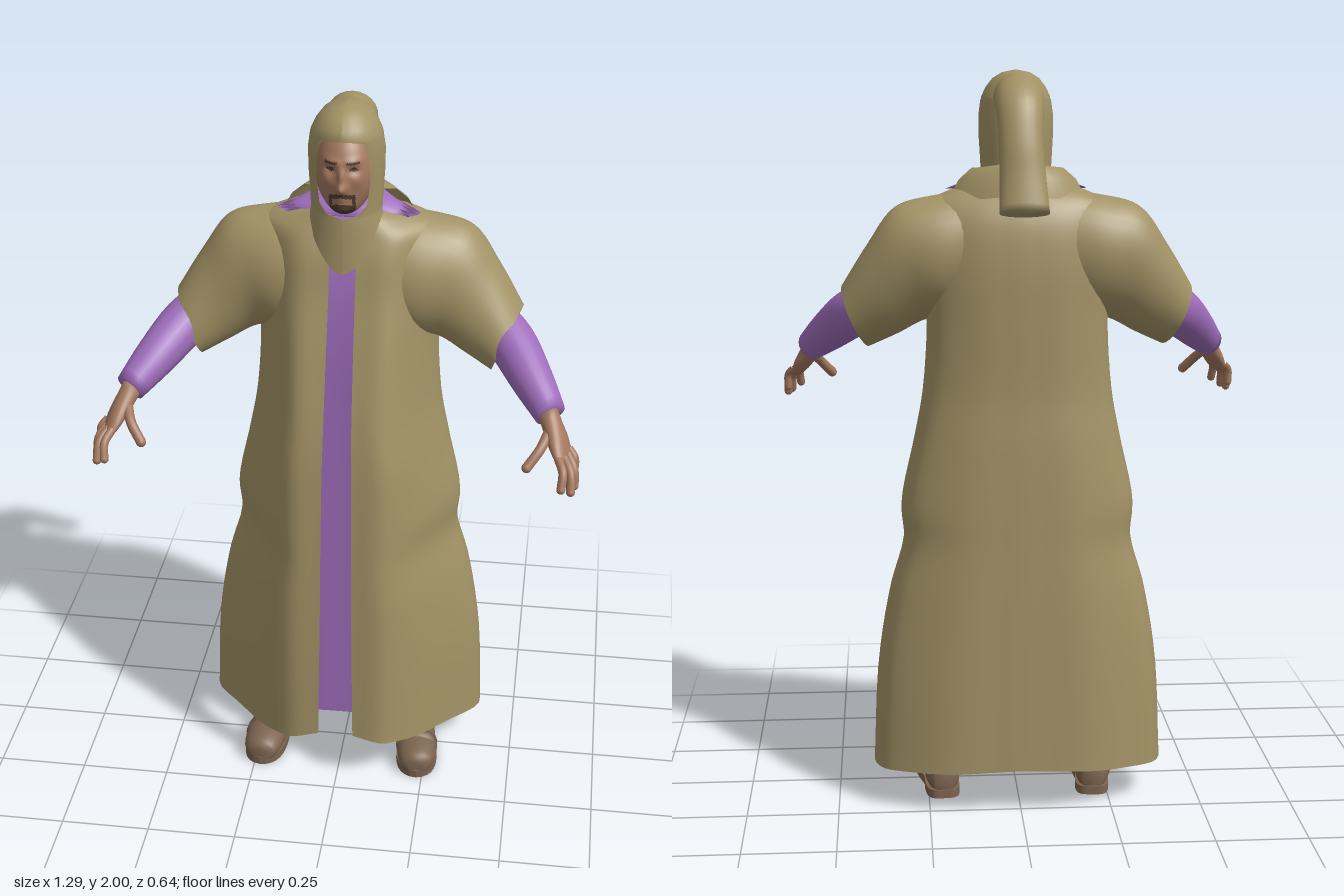
import * as THREE from 'three';

const mat = (name, color, double) => {
  const m = new THREE.MeshStandardMaterial({ color });
  m.name = name;
  if (double) m.side = THREE.DoubleSide;
  return m;
};
const V = (x, y, z) => new THREE.Vector3(x, y, z);
const lerp = THREE.MathUtils.lerp;

// Ellipse of points: centre c, half axes v (start) and u
function ellipse(c, v, u, n = 24) {
  return Array.from({ length: n }, (_, j) => {
    const a = (j / n) * Math.PI * 2;
    return c.clone().addScaledVector(v, Math.cos(a)).addScaledVector(u, Math.sin(a));
  });
}

// Skin over a list of rings; steps > 0 resamples smoothly along the length
function loft(rings, { closed = true, cap = false, steps = 0 } = {}) {
  if (steps) {
    const cols = rings[0].map((_, j) =>
      new THREE.CatmullRomCurve3(rings.map(r => r[j]), false, 'centripetal').getPoints(steps));
    rings = cols[0].map((_, i) => cols.map(c => c[i]));
  }
  const n = rings[0].length, pos = [], idx = [];
  rings.forEach(r => r.forEach(p => pos.push(p.x, p.y, p.z)));
  for (let i = 0; i < rings.length - 1; i++) {
    for (let j = 0; j < (closed ? n : n - 1); j++) {
      const k = (j + 1) % n, a = i * n + j, b = i * n + k;
      idx.push(a, b, b + n, a, b + n, a + n);
    }
  }
  if (cap) {
    [0, rings.length - 1].forEach((i, end) => {
      const c = rings[i].reduce((s, p) => s.add(p), V(0, 0, 0)).divideScalar(n);
      const m = pos.length / 3;
      pos.push(c.x, c.y, c.z);
      for (let j = 0; j < n; j++) {
        const a = i * n + j, b = i * n + (j + 1) % n;
        if (end) idx.push(a, b, m); else idx.push(b, a, m);
      }
    });
  }
  const g = new THREE.BufferGeometry();
  g.setAttribute('position', new THREE.Float32BufferAttribute(pos, 3));
  g.setIndex(idx);
  g.computeVertexNormals();
  return g;
}

// Robe levels: y, half width, front z, back z, front opening, flat front half width
const ROBE = [
  [0.13, 0.400, 0.215, -0.290, 0.050, 0.14], [0.39, 0.385, 0.210, -0.280, 0.047, 0.14],
  [0.60, 0.350, 0.203, -0.272, 0.044, 0.14], [0.74, 0.312, 0.197, -0.266, 0.043, 0.13],
  [0.84, 0.317, 0.192, -0.262, 0.042, 0.13], [1.02, 0.280, 0.180, -0.254, 0.040, 0.13],
  [1.15, 0.256, 0.160, -0.245, 0.038, 0.12], [1.35, 0.243, 0.112, -0.245, 0.036, 0.12],
  [1.50, 0.250, 0.070, -0.242, 0.035, 0.12], [1.60, 0.250, 0.047, -0.228, 0.035, 0.12],
  [1.655, 0.235, 0.025, -0.205, 0.035, 0.12], [1.685, 0.185, 0.010, -0.180, 0.035, 0.09],
  [1.705, 0.115, 0.000, -0.140, 0.035, 0.07],
];

// The coat is open in front; the tunic inside is closed and hangs straight from the chest
function robe(isTunic) {
  const inset = isTunic ? 0.013 : 0;
  const rings = ROBE.map(([y, w0, zf0, zb0, gap, fx], row) => {
    const w = w0 - inset * 1.3, zb = zb0 + inset, zm = -0.085;
    const zf = isTunic ? Math.min(zf0 - inset, 0.07) : zf0;
    const half = new THREE.CatmullRomCurve3([
      V(isTunic ? 0 : gap, y, zf), V(fx - inset, y, zf - 0.004),
      V((fx + w) / 2 + 0.005, y, lerp(zm, zf, 0.58)), V(w, y, zm),
      V(w * 0.9, y, lerp(zm, zb, 0.6)), V(w * 0.5, y, zb + 0.012), V(0, y, zb),
    ], false, 'centripetal').getPoints(28);
    half.forEach((p, j) => {
      const t = j / 28;
      // soft folds fading upward, and the curved hem
      if (row < 6 && t > 0.2) p.z += 0.006 * Math.sin(t * 28) * (1 - row / 6) * Math.sin(t * Math.PI);
      if (row === 0) p.y = isTunic ? 0.14 : t < 0.5 ? lerp(0.168, 0.1, t * 2) : lerp(0.1, 0.125, t * 2 - 1);
    });
    const other = half.slice(isTunic ? 1 : 0, -1).reverse().map(p => V(-p.x, p.y, p.z));
    return [...half, ...other];
  });
  return loft(rings, { closed: isTunic, steps: 52 });
}

// Head: a sphere moulded by a rule, with hair areas in a second material group
function headGeometry() {
  const g = new THREE.SphereGeometry(1, 96, 80), p = g.attributes.position;
  const bump = (x, y, cx, cy, rx, ry) => Math.exp(-(((x - cx) / rx) ** 2) - ((y - cy) / ry) ** 2);
  for (let i = 0; i < p.count; i++) {
    let x = p.getX(i) * 0.079, z = p.getZ(i) * 0.088;
    const y = p.getY(i) * 0.118, ax = Math.abs(x);
    if (z > 0) {
      z += 0.022 * bump(ax, y, 0, -0.022, 0.014, 0.014) + 0.012 * bump(ax, y, 0, 0.008, 0.009, 0.025)
        + 0.005 * bump(ax, y, 0.025, 0.046, 0.025, 0.01) - 0.008 * bump(ax, y, 0.03, 0.024, 0.014, 0.011)
        + 0.004 * bump(ax, y, 0.042, -0.005, 0.014, 0.016) + 0.024 * bump(ax, y, 0, -0.085, 0.035, 0.024)
        + 0.008 * bump(ax, y, 0, -0.05, 0.025, 0.014);
    }
    p.setXYZ(i, x * (y < -0.03 ? 1 + (y + 0.03) * 0.8 : 1), y, z);
  }
  g.computeVertexNormals();
  const isHair = (x, y, z) => {
    const ax = Math.abs(x);
    if (z < 0.02) return false;
    const brow = ax > 0.012 && ax < 0.045 && Math.abs(y - 0.044) < 0.0035;
    const eye = Math.hypot((ax - 0.03) / 0.011, (y - 0.026) / 0.005) < 1;
    const moustache = ax < 0.034 && Math.abs(y + 0.04 + ax * 0.25) < 0.006;
    const side = ax > 0.026 && ax < 0.034 && y < -0.045 && y > -0.08;
    const chin = Math.hypot(x / 0.034, (y + 0.085) / 0.02) < 1;
    return brow || eye || moustache || side || chin;
  };
  const parts = [[], []], idx = g.index.array;
  for (let i = 0; i < idx.length; i += 3) {
    const t = [idx[i], idx[i + 1], idx[i + 2]];
    const mean = f => (f(t[0]) + f(t[1]) + f(t[2])) / 3;
    const hairy = isHair(mean(k => p.getX(k)), mean(k => p.getY(k)), mean(k => p.getZ(k)));
    parts[hairy ? 1 : 0].push(...t);
  }
  g.setIndex([...parts[0], ...parts[1]]);
  g.addGroup(0, parts[0].length, 0);
  g.addGroup(parts[0].length, parts[1].length, 1);
  return g;
}

export function createModel() {
  const root = new THREE.Group();
  const coat = mat('coat cloth', 0xa29265, true), purple = mat('purple cloth', 0x9e6dbb, true);
  const skin = mat('skin', 0xa3785e), leather = mat('sandal leather', 0x7c6450);
  const hair = mat('dark hair', 0x4d3a2e);
  const add = (name, geo, m, parent = root) => {
    const mesh = new THREE.Mesh(geo, m);
    mesh.name = name;
    parent.add(mesh);
    return mesh;
  };

  add('coat', robe(false), coat);
  add('tunic', robe(true), purple);

  // Tunic collar lying on the shoulders, higher at the nape
  add('tunicCollar', loft([
    ellipse(V(0, 1.69, -0.075), V(0, -0.005, 0.045), V(0.19, 0, 0)),
    ellipse(V(0, 1.708, -0.075), V(0, -0.015, 0.06), V(0.14, 0, 0)),
    ellipse(V(0, 1.728, -0.07), V(0, -0.025, 0.075), V(0.1, 0, 0)),
    ellipse(V(0, 1.73, -0.06), V(0, -0.015, 0.04), V(0.05, 0, 0)),
  ], { cap: true }), purple);
  // Raised coat collar behind the neck
  const backArc = (y, rx, rz) => Array.from({ length: 17 }, (_, j) => {
    const a = lerp(1.8, Math.PI * 2 - 1.8, j / 16);
    return V(rx * Math.sin(a), y - 0.02 * Math.abs(Math.sin(a)), -0.08 + rz * Math.cos(a));
  });
  add('coatCollar', loft([backArc(1.68, 0.19, 0.125), backArc(1.735, 0.16, 0.115), backArc(1.765, 0.125, 0.085),
    backArc(1.765, 0.09, 0.05)], { closed: false }), coat);

  // Hood levels: y, half width, front z, back z, half width of face opening, drop of the front point
  const hoodRows = [
    [1.675, 0.100, 0.064, -0.125, 0, 0.11], [1.695, 0.097, 0.060, -0.125, 0, 0.05],
    [1.715, 0.094, 0.056, -0.130, 0, 0], [1.725, 0.094, 0.055, -0.133, 0.040, 0],
    [1.75, 0.095, 0.055, -0.137, 0.062, 0], [1.82, 0.099, 0.060, -0.140, 0.070, 0],
    [1.88, 0.100, 0.067, -0.142, 0.067, 0], [1.922, 0.094, 0.071, -0.140, 0.056, 0],
    [1.93, 0.092, 0.071, -0.139, 0, 0], [1.955, 0.080, 0.062, -0.132, 0, 0],
    [1.978, 0.062, 0.042, -0.120, 0, 0], [1.993, 0.037, 0.010, -0.095, 0, 0], [2.0, 0.003, -0.035, -0.045, 0, 0],
  ];
  add('hood', loft(hoodRows.map(([y, w, zf, zb, gap, drop]) => {
    const a0 = Math.asin(Math.min(1, gap / w));
    return Array.from({ length: 41 }, (_, j) => {
      const a = lerp(a0, Math.PI * 2 - a0, j / 40), c = Math.cos(a);
      return V(w * Math.sin(a), y - drop * Math.max(0, c) ** 3, (zf + zb) / 2 + c * (zf - zb) / 2);
    });
  }), { closed: false }), coat);

  // Hanging tail of the hood: x, y, z, half width, normal y, normal z, half thickness
  add('hoodTail', loft([
    [0, 1.93, -0.03, 0.05, 1, 0, 0.06], [0, 1.93, -0.13, 0.066, 0.95, -0.3, 0.062],
    [0, 1.90, -0.2, 0.062, 0.7, -0.7, 0.05], [0, 1.82, -0.242, 0.058, 0.3, -0.95, 0.04],
    [-0.003, 1.73, -0.268, 0.06, 0.25, -0.97, 0.034], [-0.006, 1.64, -0.295, 0.065, 0.4, -0.92, 0.03],
  ].map(([x, y, z, w, ny, nz, t]) =>
    ellipse(V(x, y, z), V(0, ny * t, nz * t), V(w, 0, 0))), { cap: true, steps: 24 }), coat);

  add('head', headGeometry(), [skin, hair]).position.set(0, 1.828, -0.016);

  // Arms and legs, built on the left and mirrored
  for (const side of [1, -1]) {
    const limb = new THREE.Group();
    limb.name = side > 0 ? 'leftLimbs' : 'rightLimbs';
    limb.scale.x = side;
    root.add(limb);

    // Shoulder and wide sleeve: top x, top y, bottom x, bottom y, z, half depth
    add('sleeve', loft([
      [0.10, 1.69, 0.12, 1.36, -0.09, 0.125], [0.22, 1.675, 0.19, 1.35, -0.095, 0.132],
      [0.325, 1.645, 0.25, 1.34, -0.097, 0.115], [0.40, 1.545, 0.32, 1.303, -0.085, 0.1],
      [0.468, 1.435, 0.398, 1.265, -0.06, 0.09],
    ].map(([tx, ty, bx, by, z, d]) => ellipse(V((tx + bx) / 2, (ty + by) / 2, z),
      V((tx - bx) / 2, (ty - by) / 2, -0.01), V(-0.015, 0, d), 32)), { steps: 24 }), coat, limb);

    // Tunic sleeve on the forearm
    const along = V(0.26, 0.89, 0.37), across = V(-0.82, 0, 0.58);
    add('forearm', loft([[0.37, 1.40, -0.10, 0.066], [0.44, 1.355, -0.035, 0.066],
      [0.51, 1.29, 0.07, 0.056], [0.562, 1.238, 0.15, 0.042]].map(([x, y, z, r]) =>
      ellipse(V(x, y, z), along.clone().multiplyScalar(r), across.clone().multiplyScalar(r))),
    { cap: true, steps: 12 }), purple, limb);

    // Hand
    const hv = V(0.775, 0.6, 0.2), hu = V(-0.3, 0, 0.95);
    add('palm', loft([[0.55, 1.25, 0.14, 0.028, 0.03], [0.57, 1.215, 0.172, 0.025, 0.036],
      [0.59, 1.18, 0.202, 0.021, 0.048], [0.608, 1.15, 0.228, 0.013, 0.046]].map(([x, y, z, t, w]) =>
      ellipse(V(x, y, z), hv.clone().multiplyScalar(t), hu.clone().multiplyScalar(w))),
    { cap: true, steps: 8 }), skin, limb);
    const fingers = {
      thumb: [0.56, 1.205, 0.19, 0.51, 1.14, 0.268, 0.0135],
      indexFinger: [0.59, 1.165, 0.255, 0.602, 1.105, 0.31, 0.0115],
      middleFinger: [0.604, 1.16, 0.237, 0.627, 1.09, 0.292, 0.012],
      ringFinger: [0.612, 1.16, 0.215, 0.636, 1.088, 0.255, 0.0115],
      littleFinger: [0.616, 1.165, 0.193, 0.634, 1.108, 0.212, 0.0105],
    };
    for (const [name, [x0, y0, z0, x1, y1, z1, r]] of Object.entries(fingers)) {
      const a = V(x0, y0, z0), b = V(x1, y1, z1);
      const mid = a.clone().lerp(b, 0.5).add(V(0.008, 0.008, 0.006));
      add(name, new THREE.TubeGeometry(new THREE.CatmullRomCurve3([a, mid, b]), 8, r, 10), skin, limb);
      add(name + 'Tip', new THREE.SphereGeometry(r, 12, 8), skin, limb).position.copy(b);
    }

    // Leg wrapped in straps
    const shin = add('shin', new THREE.CylinderGeometry(0.055, 0.036, 0.5, 20), leather, limb);
    shin.position.set(0.225, 0.32, -0.09);
    for (let i = 0; i < 3; i++) {
      const strap = add('shinStrap', new THREE.TorusGeometry(0.037, 0.006, 8, 24), leather, limb);
      strap.rotation.x = Math.PI / 2;
      strap.position.set(0.225, 0.105 + i * 0.03, -0.09);
    }
    // Shoe: z, half width, height
    const foot = new THREE.Group();
    foot.name = 'foot';
    foot.position.set(0.22, 0, 0);
    foot.rotation.y = 0.08;
    limb.add(foot);
    add('shoe', loft([[0.172, 0.02, 0.05], [0.158, 0.045, 0.068], [0.1, 0.058, 0.08], [0.02, 0.054, 0.088],
      [-0.06, 0.047, 0.108], [-0.13, 0.045, 0.1], [-0.158, 0.025, 0.08]].map(([z, w, h]) =>
      ellipse(V(0, h / 2 + 0.004, z), V(0, h / 2, 0), V(w, 0, 0))), { cap: true, steps: 18 }), leather, foot);
    const sole = new THREE.Shape();
    sole.moveTo(0, -0.176);
    sole.bezierCurveTo(0.085, -0.17, 0.06, -0.03, 0.045, 0.05);
    sole.bezierCurveTo(0.055, 0.17, 0.03, 0.162, 0, 0.162);
    sole.bezierCurveTo(-0.03, 0.162, -0.055, 0.17, -0.045, 0.05);
    sole.bezierCurveTo(-0.06, -0.03, -0.085, -0.17, 0, -0.176);
    const soleMesh = add('sole', new THREE.ExtrudeGeometry(sole, { depth: 0.024, bevelEnabled: false }), leather, foot);
    soleMesh.rotation.x = -Math.PI / 2;
    add('footStrap', loft([0.09, 0.06].map(z =>
      ellipse(V(0, 0.046, z), V(0, 0.045, 0), V(0.061, 0, 0))), { cap: true }), leather, foot);
  }
  return root;
}
